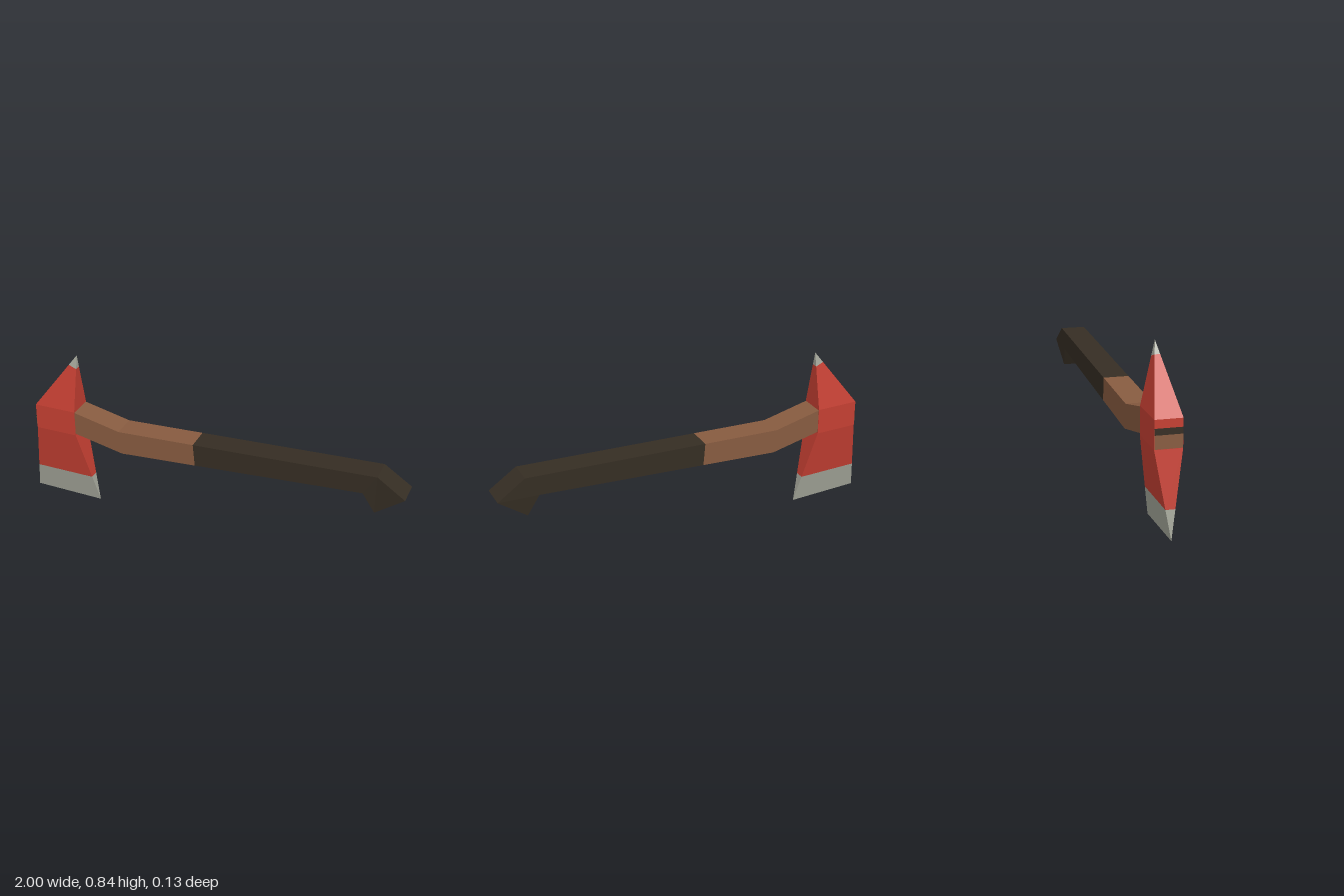
import * as THREE from 'three';

const mat = (name, color) => {
  const m = new THREE.MeshStandardMaterial({ color });
  m.name = name;
  return m;
};

// Skin a row of four-cornered sections (corners counter-clockwise seen from the far end), flat shaded.
function loft(sections, capStart, capEnd) {
  const pos = [];
  const tri = (a, b, c) => {
    const area = b.clone().sub(a).cross(c.clone().sub(a)).length();
    if (area > 1e-7) for (const p of [a, b, c]) pos.push(p.x, p.y, p.z);
  };
  const quad = (a, b, c, d) => { tri(a, b, c); tri(a, c, d); };
  for (let i = 0; i < sections.length - 1; i++) {
    const s = sections[i], e = sections[i + 1];
    for (let j = 0; j < 4; j++) {
      const k = (j + 1) % 4;
      quad(s[j], s[k], e[k], e[j]);
    }
  }
  if (capStart) quad(...[...sections[0]].reverse());
  if (capEnd) quad(...sections[sections.length - 1]);
  const g = new THREE.BufferGeometry();
  g.setAttribute('position', new THREE.Float32BufferAttribute(pos, 3));
  g.computeVertexNormals();
  return g;
}

const V = (x, y, z) => new THREE.Vector3(x, y, z);

// Head section: outer and inner edge points with a half thickness
const headSection = (xo, yo, xi, yi, w) =>
  [V(xo, yo, w), V(xi, yi, w), V(xi, yi, -w), V(xo, yo, -w)];

// Handle section: bottom and top points with half widths
const handleSection = (xb, yb, xt, yt, wb = 0.063, wt = wb) =>
  [V(xb, yb, wb), V(xb, yb, -wb), V(xt, yt, -wt), V(xt, yt, wt)];

// Blend two sections, with separate amounts for outer and inner edges
const blend = (a, b, outer, inner) =>
  a.map((p, i) => p.clone().lerp(b[i], i === 0 || i === 3 ? outer : inner));

export function createModel() {
  const red = mat('red paint', 0xc43f32);
  const steel = mat('bare steel', 0xa3a599);
  const wood = mat('brown wood', 0x875b40);
  const grip = mat('dark grip', 0x352d23);

  const model = new THREE.Group();
  const add = (parent, name, geometry, material) => {
    const m = new THREE.Mesh(geometry, material);
    m.name = name;
    parent.add(m);
    return m;
  };

  // Axe head: cutting edge at the bottom, spike at the top
  const head = new THREE.Group();
  head.name = 'axeHead';
  model.add(head);
  const edge = headSection(-1, 0.01, -0.635, 0, 0);
  const low = headSection(-0.945, 0.41, -0.725, 0.41, 0.065);
  const high = headSection(-0.945, 0.545, -0.725, 0.545, 0.065);
  const tip = headSection(-0.725, 0.84, -0.725, 0.84, 0);
  const edgeLine = blend(low, edge, 0.655, 0.645);
  const tipLine = blend(high, tip, 0.81, 0.76);
  add(head, 'headBody', loft([edgeLine, low, high, tipLine]), red);
  add(head, 'cuttingEdge', loft([edge, edgeLine]), steel);
  add(head, 'spikeTip', loft([tipLine, tip]), steel);

  // End of the handle showing through the outer side of the head
  const plate = (name, y0, y1, material) =>
    add(head, name, new THREE.BoxGeometry(0.004, y1 - y0, 0.128), material)
      .position.set(-0.945, (y0 + y1) / 2, 0);
  plate('handleEndWood', 0.412, 0.475, wood);
  plate('handleEndGap', 0.475, 0.505, grip);

  // Bent handle: wooden neck, dark grip and angled knob
  const handle = new THREE.Group();
  handle.name = 'handle';
  model.add(handle);
  const split = handleSection(-0.065, 0.386, -0.075, 0.503);
  const mitre = handleSection(0.795, 0.44, 0.86, 0.545);
  add(handle, 'handleNeck', loft([
    handleSection(-0.74, 0.422, -0.74, 0.545),
    handleSection(-0.465, 0.361, -0.48, 0.485),
    split,
  ], true), wood);
  add(handle, 'handleGrip', loft([split, mitre]), grip);
  add(handle, 'handleKnob', loft([
    mitre,
    handleSection(0.855, 0.338, 1, 0.45, 0.053, 0.065),
  ], false, true), grip);

  return model;
}
